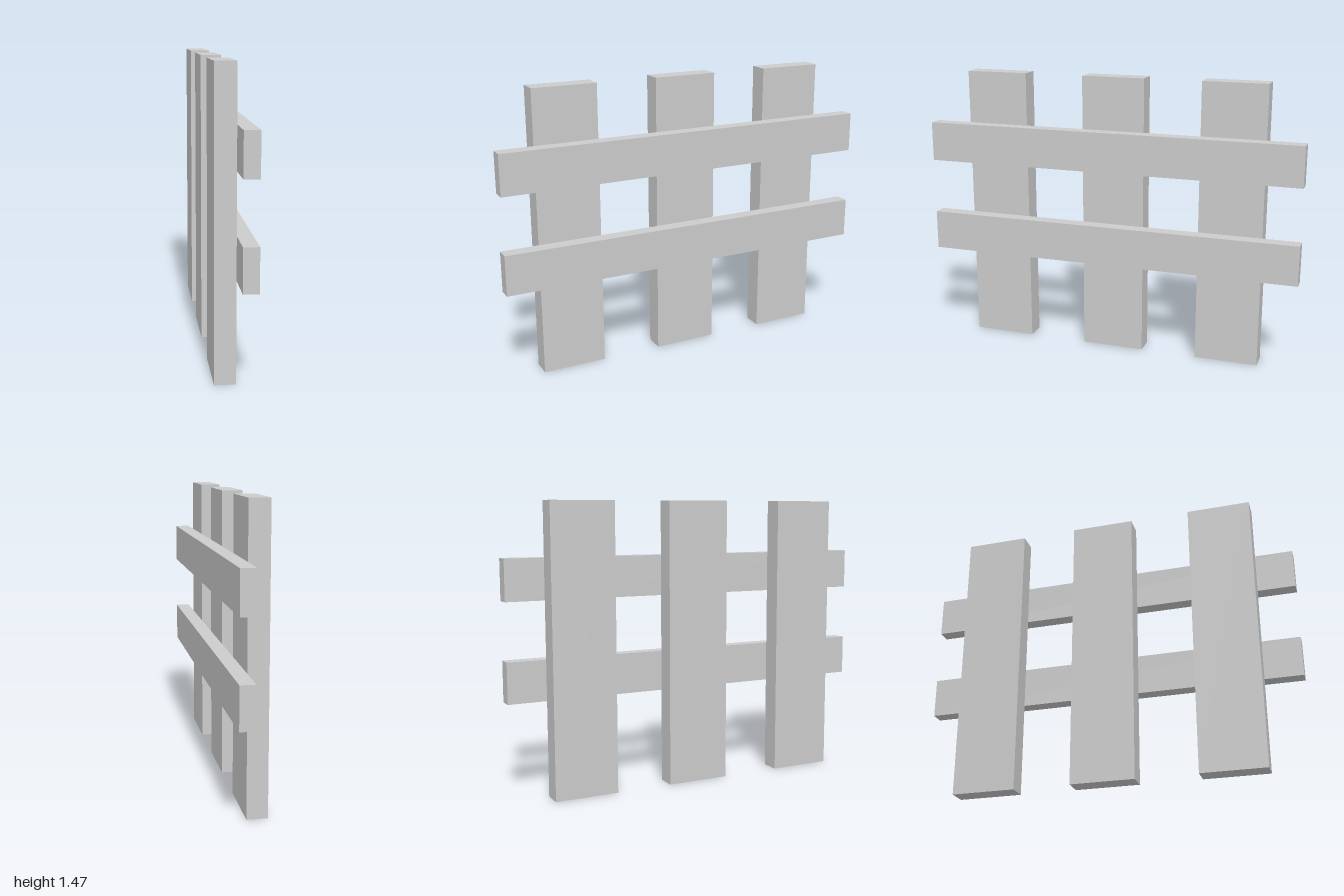
import * as THREE from 'three';

const material = new THREE.MeshStandardMaterial({ color: 0xcccccc, flatShading: true });

// Plank given by its centre and size
function plank(name, [x, y, z], [w, h, d]) {
  const mesh = new THREE.Mesh(new THREE.BoxGeometry(w, h, d), material);
  mesh.name = name;
  mesh.position.set(x, y, z);
  return mesh;
}

export function createModel() {
  const fence = new THREE.Group();
  fence.name = 'fence';

  // Upright pickets
  const picketHeight = 1.472;
  [0.639, -0.008, -0.636].forEach((z, i) => {
    fence.add(plank(`picket${i + 1}`, [-0.038, picketHeight / 2, z], [0.102, picketHeight, 0.332]));
  });

  // Horizontal rails on the +x side of the pickets
  const rails = { lowerRail: 0.592, upperRail: 1.092 };
  for (const [name, y] of Object.entries(rails)) {
    fence.add(plank(name, [0.052, y, 0], [0.074, 0.208, 2]));
  }

  return fence;
}
